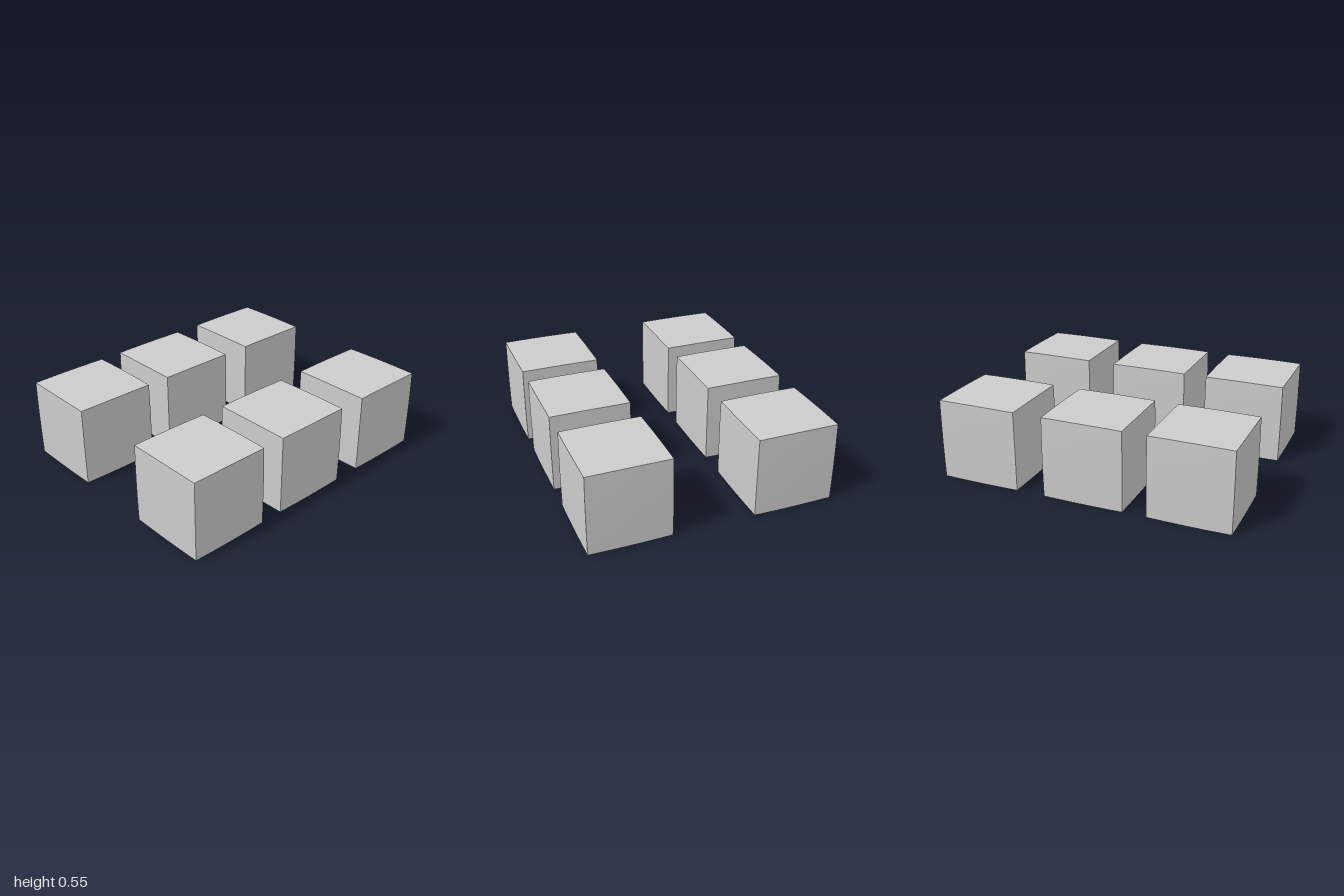
import * as THREE from 'three';

const SIZE = 0.552;
const BULGE = 0.004;

// Cube with crisp edges and very slightly domed faces
function domedCube() {
  const half = SIZE / 2;
  const inner = half - BULGE;
  const geometry = new THREE.BoxGeometry(2, 2, 2, 8, 8, 8);
  const pos = geometry.attributes.position;
  const dome = (a, b, c) => a * (inner + BULGE * (1 - b * b / 2 - c * c / 2));
  for (let i = 0; i < pos.count; i++) {
    const x = pos.getX(i), y = pos.getY(i), z = pos.getZ(i);
    pos.setXYZ(i, dome(x, y, z), dome(y, x, z), dome(z, x, y));
  }
  geometry.computeVertexNormals();
  return geometry;
}

export function createModel() {
  const model = new THREE.Group();
  model.name = 'cubes';
  const material = new THREE.MeshStandardMaterial({ color: 0xcccccc });
  const geometry = domedCube();

  // Two rows of three cubes
  const columns = [['Right', -0.724], ['Middle', -0.019], ['Left', 0.724]];
  const rows = [['front', 0.55], ['back', -0.55]];
  for (const [row, z] of rows) {
    for (const [column, x] of columns) {
      const cube = new THREE.Mesh(geometry, material);
      cube.name = `${row}${column}Cube`;
      cube.position.set(x, SIZE / 2, z);
      model.add(cube);
    }
  }
  return model;
}
